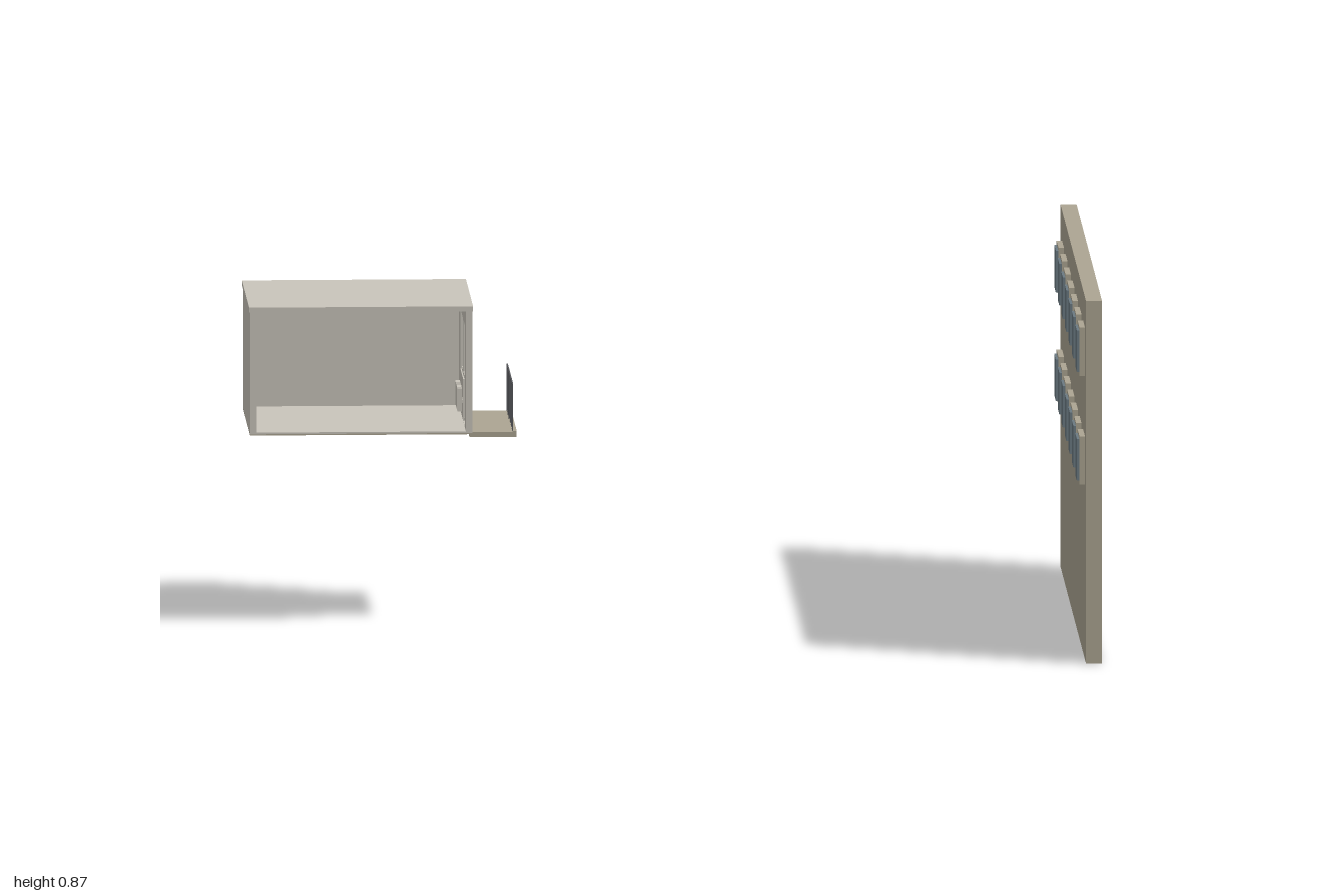
import * as THREE from 'three';

const mat = (name, color, side = THREE.FrontSide) => {
  const m = new THREE.MeshStandardMaterial({ color, side });
  m.name = name;
  return m;
};

export function createModel() {
  const tan = mat('tan concrete', 0xaca592);
  const plaster = mat('pale plaster', 0xc9c5bb);
  const slate = mat('slate glass', 0x6b7a82);
  const metal = mat('dark metal', 0x55565a);
  const model = new THREE.Group();

  // Box given by its minimum and maximum corners
  const box = (name, material, x0, x1, y0, y1, z0, z1, parent = model) => {
    const mesh = new THREE.Mesh(new THREE.BoxGeometry(x1 - x0, y1 - y0, z1 - z0), material);
    mesh.position.set((x0 + x1) / 2, (y0 + y1) / 2, (z0 + z1) / 2);
    mesh.name = name;
    parent.add(mesh);
    return mesh;
  };

  // Facing building wall with two rows of windows
  box('facadeWall', tan, 0.962, 1, 0, 0.87, -0.745, 0.745);
  for (const y of [0.478, 0.739]) {
    for (let i = 0; i < 7; i++) {
      const z = -0.6 + i * 0.205;
      const win = new THREE.Group();
      win.name = 'facadeWindow';
      for (const s of [-1, 1]) {
        const a = z + s * 0.056, b = z + s * 0.046;
        box('casingSide', tan, 0.949, 0.962, y - 0.058, y + 0.058, Math.min(a, b), Math.max(a, b), win);
        const c = y + s * 0.058, d = y + s * 0.05;
        box('casingRail', tan, 0.949, 0.962, Math.min(c, d), Math.max(c, d), z - 0.046, z + 0.046, win);
      }
      box('windowPane', slate, 0.943, 0.962, y - 0.05, y + 0.05, z - 0.046, z + 0.046, win);
      model.add(win);
    }
  }

  // Room shell, open at the front
  box('floorSlab', tan, -0.998, -0.47, 0.463, 0.466, -0.293, 0.125);
  box('floor', plaster, -0.985, -0.485, 0.466, 0.47, -0.283, 0.125);
  box('ceiling', plaster, -1, -0.468, 0.758, 0.77, -0.297, 0.125);
  box('backWall', plaster, -0.985, -0.475, 0.466, 0.758, -0.293, -0.28);
  box('sideWall', plaster, -0.998, -0.983, 0.466, 0.758, -0.29, 0.125);

  // Balcony wall with one stepped opening for door and window; shape x maps to -z
  const shape = new THREE.Shape([
    [-0.125, 0.466], [0.293, 0.466], [0.293, 0.758], [-0.125, 0.758],
  ].map(p => new THREE.Vector2(...p)));
  shape.holes.push(new THREE.Path([
    [-0.06, 0.472], [-0.06, 0.715], [0.2, 0.715], [0.2, 0.57], [0.04, 0.57], [0.04, 0.472],
  ].map(p => new THREE.Vector2(...p))));
  const wall = new THREE.Mesh(
    new THREE.ExtrudeGeometry(shape, { depth: 0.015, bevelEnabled: false }), plaster);
  wall.rotation.y = Math.PI / 2;
  wall.position.x = -0.485;
  wall.name = 'balconyWall';
  model.add(wall);

  // Door and window frames
  const frame = (name, z0, z1, y0, y1) => {
    const g = new THREE.Group();
    g.name = name;
    const t = 0.008, x0 = -0.482, x1 = -0.474;
    box('stile', plaster, x0, x1, y0, y1, z0, z0 + t, g);
    box('stile', plaster, x0, x1, y0, y1, z1 - t, z1, g);
    box('rail', plaster, x0, x1, y0, y0 + t, z0 + t, z1 - t, g);
    box('rail', plaster, x0, x1, y1 - t, y1, z0 + t, z1 - t, g);
    model.add(g);
  };
  frame('doorFrame', -0.04, 0.06, 0.472, 0.715);
  frame('windowFrame', -0.12, -0.04, 0.57, 0.715);
  frame('windowFrame', -0.2, -0.12, 0.57, 0.715);

  // Ribbed radiator under the window
  for (let i = 0; i < 8; i++) {
    const z = -0.185 + i * 0.017;
    box('radiatorRib', plaster, -0.498, -0.487, 0.49, 0.545, z, z + 0.013);
  }
  box('radiatorPipe', plaster, -0.495, -0.485, 0.51, 0.518, -0.185, -0.055);

  // Balcony slab and thin railing
  box('balconySlab', tan, -0.475, -0.363, 0.45, 0.462, -0.245, 0.085);
  box('balconyCurb', tan, -0.373, -0.363, 0.462, 0.464, -0.245, 0.085);
  for (let i = 0; i < 6; i++) {
    const z = -0.235 + i * 0.062;
    box('railingPost', metal, -0.374, -0.371, 0.462, 0.575, z - 0.0015, z + 0.0015);
  }
  box('railingTop', metal, -0.374, -0.371, 0.573, 0.576, -0.237, 0.077);
  return model;
}
